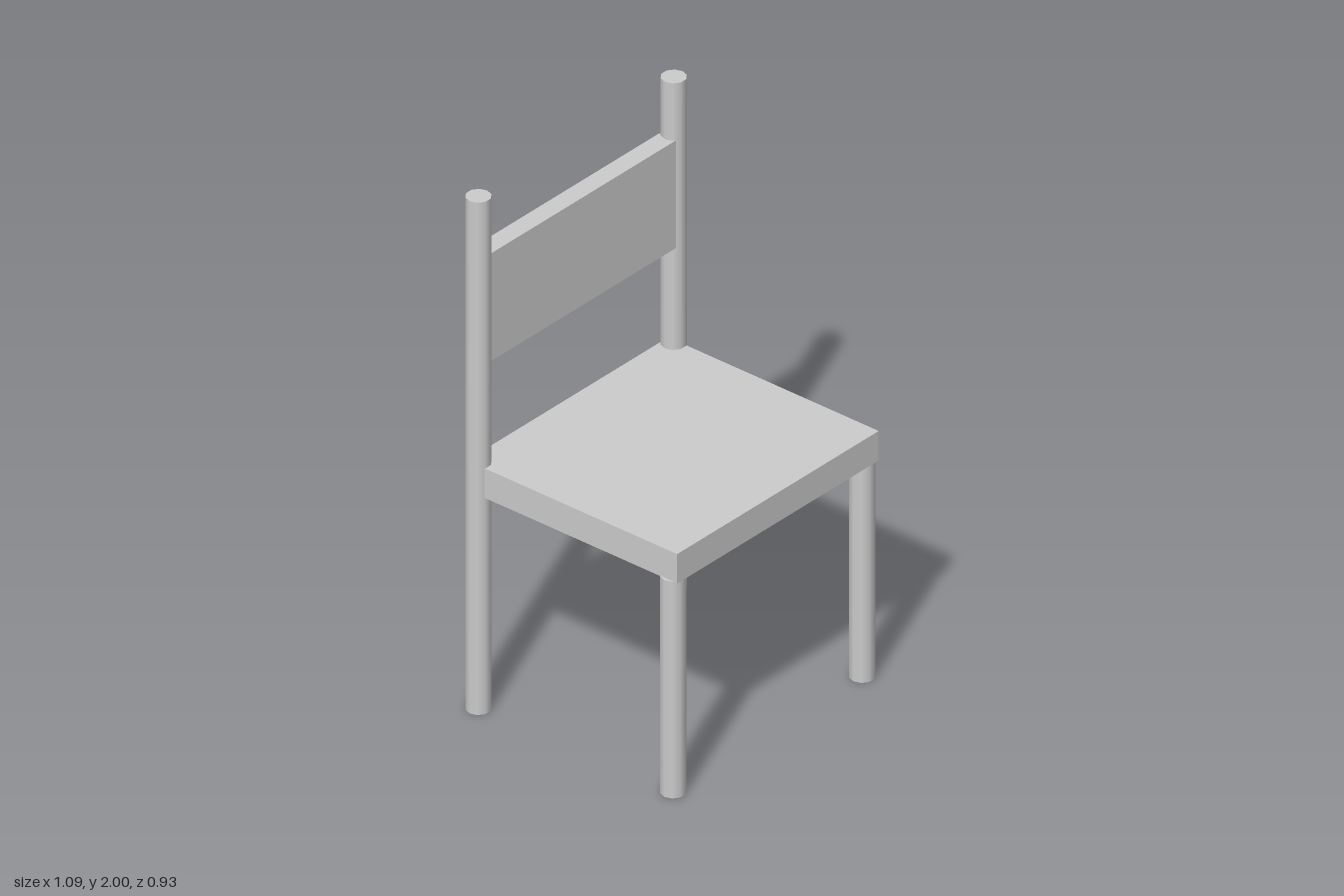
import * as THREE from 'three';

export function createModel() {
  const group = new THREE.Group();
  const material = new THREE.MeshStandardMaterial({ color: 0xcccccc });

  function add(name, geometry, x, y, z) {
    const mesh = new THREE.Mesh(geometry, material);
    mesh.name = name;
    mesh.position.set(x, y, z);
    group.add(mesh);
  }

  // Ten-sided round post standing on the floor, a corner pointing to each side
  function post(name, radius, height, x, z) {
    const geometry = new THREE.CylinderGeometry(radius, radius, height, 10);
    geometry.rotateY(Math.PI / 2);
    add(name, geometry, x, height / 2, z);
  }

  // Seat slab
  add('seat', new THREE.BoxGeometry(1.034, 0.115, 0.922), 0, 0.902, 0);

  // Back panel held between the rear posts
  add('backrest', new THREE.BoxGeometry(0.946, 0.42, 0.072), 0, 1.566, -0.426);

  // Legs: the rear pair runs up to carry the backrest
  for (const [side, s] of [['left', 1], ['right', -1]]) {
    post(side + 'FrontLeg', 0.045, 0.846, s * 0.485, 0.416);
    post(side + 'BackPost', 0.045, 2, s * 0.501, -0.423);
  }

  return group;
}
